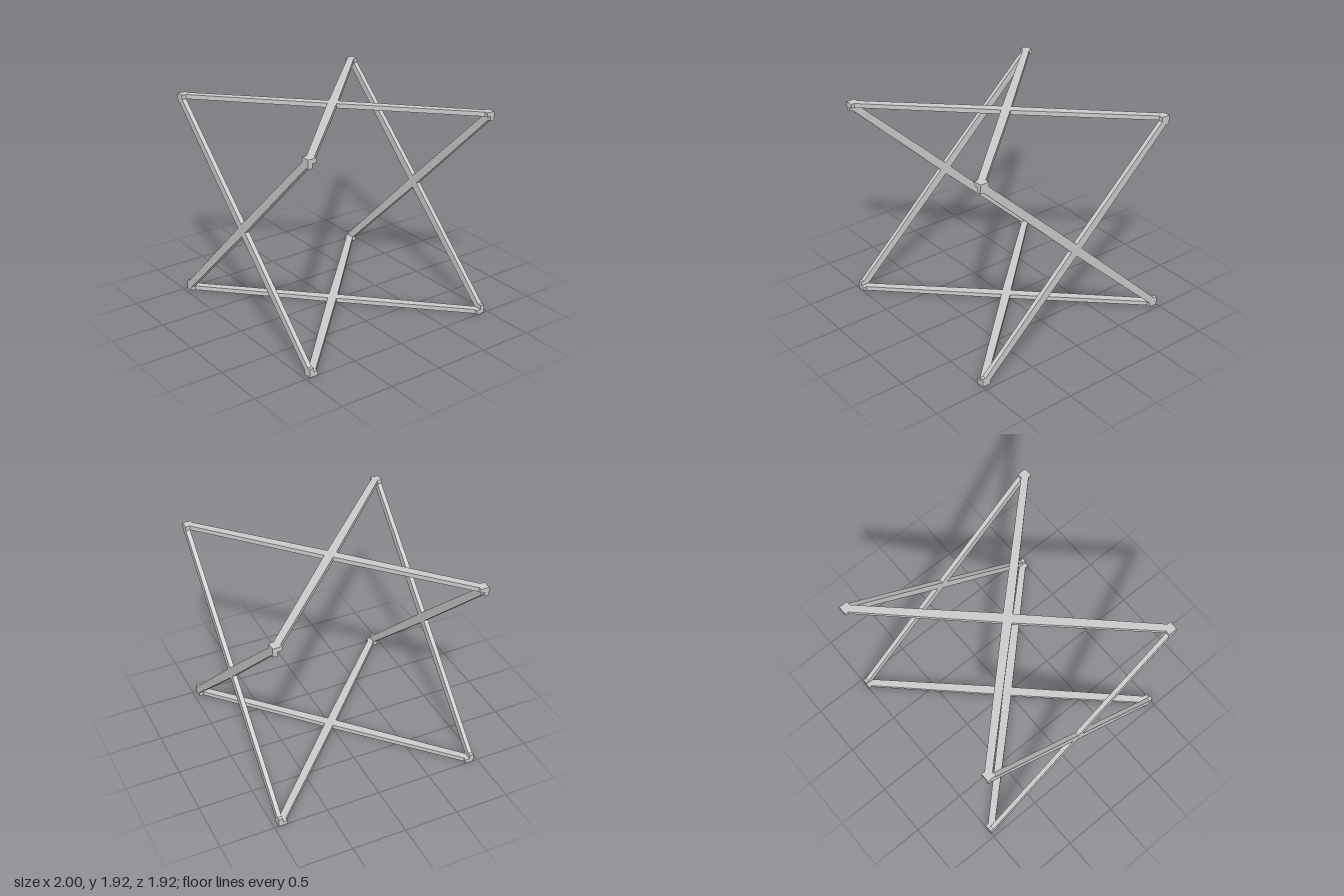
import * as THREE from 'three';

const T = 0.04;     // plate thickness
const HALF = 0.96;  // half height and half depth of the frame

// X-shaped outline with blunt corner blocks; reach is its half height
function crossShape(reach) {
  const outer = [[0.97, 0.88], [1, 0.88], [1, reach], [0.92, reach]];
  if (reach > HALF - T) outer.push([0.92, HALF - T]);
  const inner = [...outer].reverse();
  const mirror = (pts, sx, sy) => pts.map(([x, y]) => [x * sx, y * sy]);
  const outline = [
    [0.057, 0], ...outer,
    [0, 0.057], ...mirror(inner, -1, 1),
    [-0.057, 0], ...mirror(outer, -1, -1),
    [0, -0.057], ...mirror(inner, 1, -1),
  ];
  return new THREE.Shape(outline.map(([x, y]) => new THREE.Vector2(x, y)));
}

function crossPlate(name, reach, material) {
  const geometry = new THREE.ExtrudeGeometry(crossShape(reach), { depth: T, bevelEnabled: false });
  geometry.translate(0, 0, HALF - T);
  const mesh = new THREE.Mesh(geometry, material);
  mesh.name = name;
  mesh.position.y = HALF;
  return mesh;
}

export function createModel() {
  const group = new THREE.Group();
  group.name = 'crossBracedFrame';
  const material = new THREE.MeshStandardMaterial({ color: 0xcccccc, flatShading: true });

  // Four crossed plates around the x axis; top and bottom butt against front and back
  ['frontCross', 'bottomCross', 'backCross', 'topCross'].forEach((name, i) => {
    const plate = crossPlate(name, i % 2 ? HALF - T : HALF, material);
    plate.rotation.x = i * Math.PI / 2;
    group.add(plate);
  });
  return group;
}
